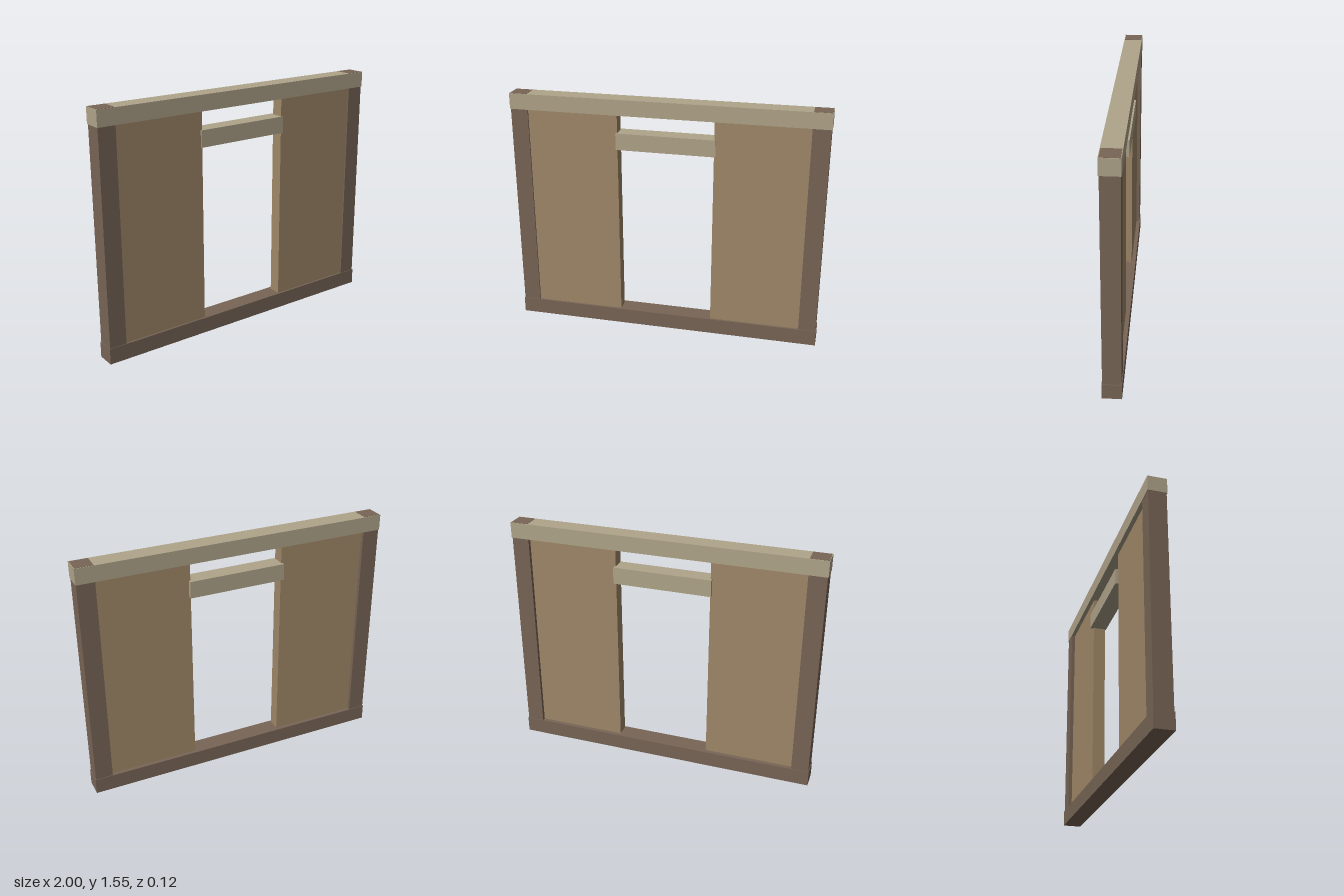
import * as THREE from 'three';

export function createModel() {
  const model = new THREE.Group();
  model.name = 'doorwayWallFrame';

  const material = (name, color) => {
    const m = new THREE.MeshStandardMaterial({ color });
    m.name = name;
    return m;
  };
  const darkWood = material('dark wood', 0x786556);
  const paleWood = material('pale wood', 0xb0a48a);
  const plaster = material('tan panel', 0xa08868);

  // Box given by its low and high corner on each axis
  const addBox = (name, mat, [x0, x1], [y0, y1], [z0, z1]) => {
    const mesh = new THREE.Mesh(new THREE.BoxGeometry(x1 - x0, y1 - y0, z1 - z0), mat);
    mesh.position.set((x0 + x1) / 2, (y0 + y1) / 2, (z0 + z1) / 2);
    mesh.name = name;
    model.add(mesh);
  };

  // Horizontal beams
  addBox('sillBeam', darkWood, [-1, 1], [0, 0.102], [-0.06, 0.06]);
  addBox('topBeam', paleWood, [-1, 1], [1.452, 1.552], [-0.06, 0.06]);
  addBox('doorLintel', paleWood, [-0.315, 0.315], [1.23, 1.337], [-0.055, 0.055]);

  // Posts run through the top beam, their end grain showing on top
  for (const [side, s] of [['left', 1], ['right', -1]]) {
    const span = (a, b) => (s > 0 ? [a, b] : [-b, -a]);
    addBox(side + 'Post', darkWood, span(0.885, 0.996), [0.05, 1.553], [-0.056, 0.056]);
    addBox(side + 'WallPanel', plaster, span(0.305, 0.89), [0.09, 1.46], [-0.033, 0.047]);
  }

  return model;
}
